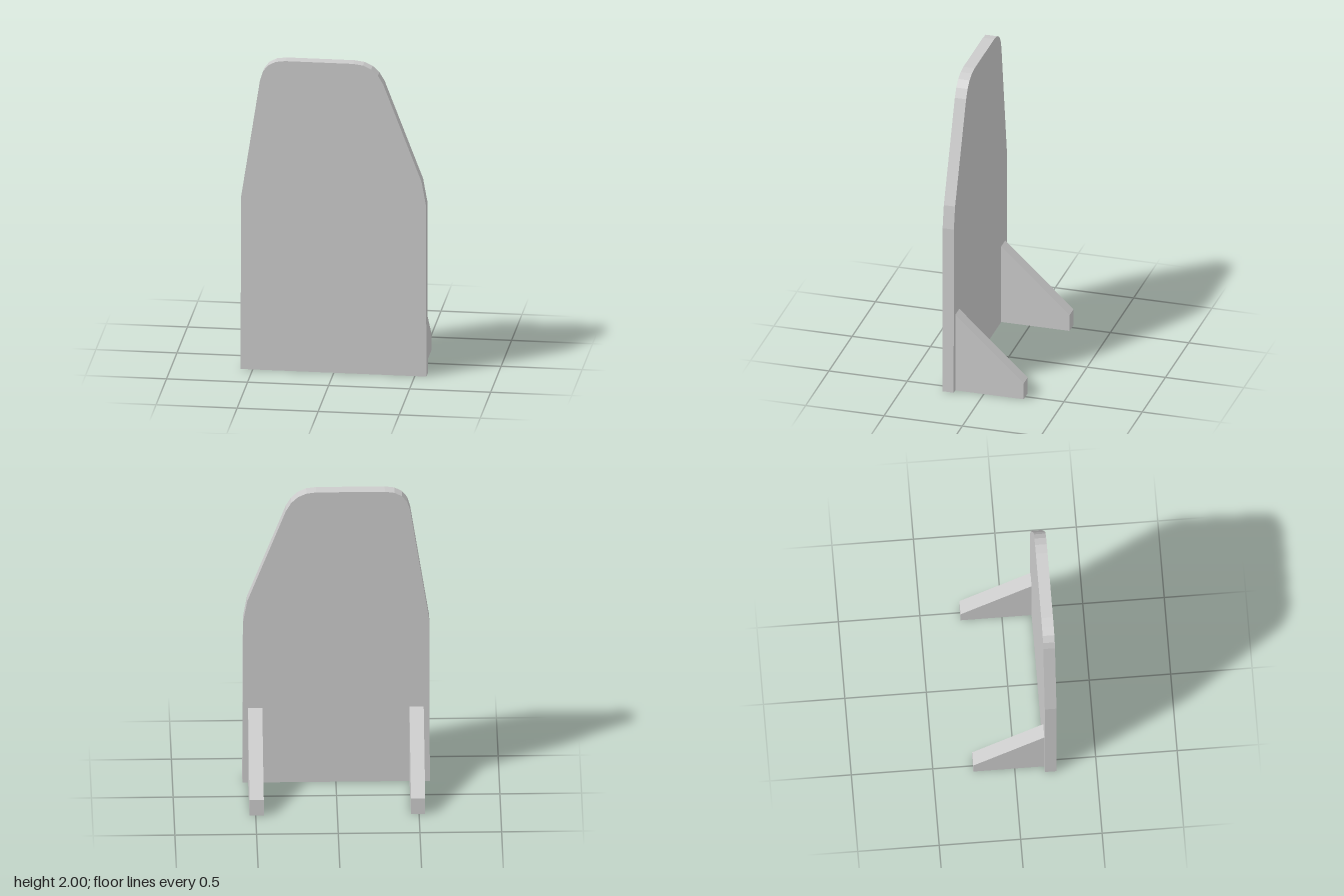
import * as THREE from 'three';

const BACK = 0.182, FRONT = 0.254;

export function createModel() {
  const group = new THREE.Group();
  const material = new THREE.MeshStandardMaterial({ color: 0xcccccc, flatShading: true });

  // Upright board: lopsided outline with two rounded top corners
  const outline = new THREE.Shape();
  outline.moveTo(-0.575, 0);
  outline.lineTo(0.572, 0);
  outline.lineTo(0.568, 1.11);
  outline.lineTo(0.542, 1.255);
  outline.lineTo(0.305, 1.875);
  outline.quadraticCurveTo(0.25, 2, 0.12, 2);
  outline.lineTo(-0.3, 2);
  outline.quadraticCurveTo(-0.433, 2, -0.455, 1.87);
  outline.lineTo(-0.572, 1.11);
  outline.closePath();
  const boardGeometry = new THREE.ExtrudeGeometry(outline, {
    depth: FRONT - BACK, bevelEnabled: false, curveSegments: 4,
  });
  const board = new THREE.Mesh(boardGeometry, material);
  board.name = 'board';
  board.position.z = BACK;
  group.add(board);

  // Sloped braces behind the board; profile is drawn in (z, y)
  const profile = new THREE.Shape([
    [-0.254, 0], [BACK, 0], [BACK, 0.515], [-0.254, 0.107],
  ].map(([z, y]) => new THREE.Vector2(z, y)));
  const braceGeometry = new THREE.ExtrudeGeometry(profile, { depth: 0.087, bevelEnabled: false });
  braceGeometry.rotateY(-Math.PI / 2).translate(0.0435, 0, 0);
  for (const side of [-1, 1]) {
    const brace = new THREE.Mesh(braceGeometry, material);
    brace.name = side > 0 ? 'leftBrace' : 'rightBrace';
    brace.position.x = side * 0.494;
    group.add(brace);
  }

  return group;
}
